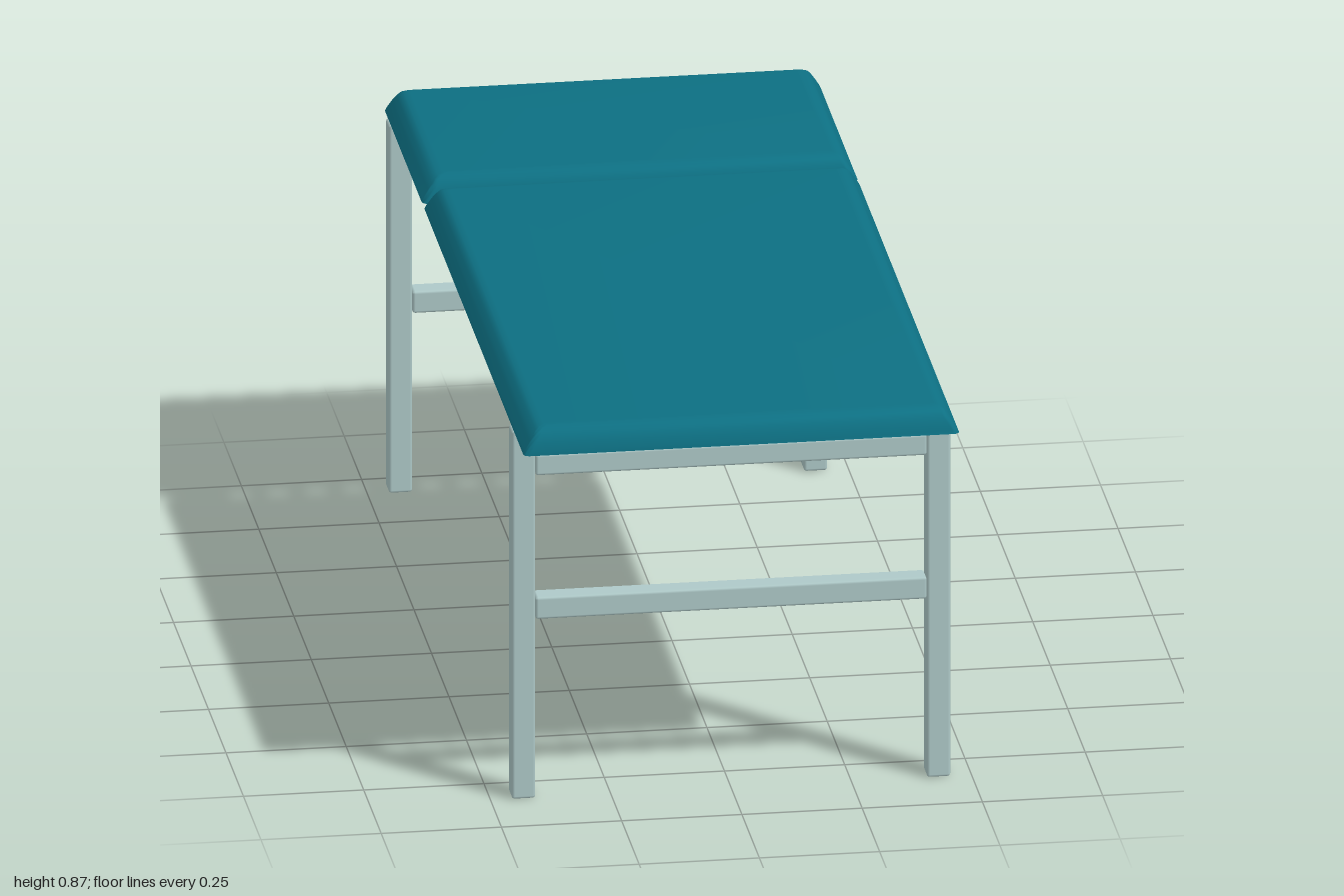
import * as THREE from 'three';
import { RoundedBoxGeometry } from 'three/addons/geometries/RoundedBoxGeometry.js';
import { toCreasedNormals } from 'three/addons/utils/BufferGeometryUtils.js';

const upholstery = new THREE.MeshStandardMaterial({ name: 'teal upholstery', color: 0x0d7083 });
const paint = new THREE.MeshStandardMaterial({ name: 'pale frame paint', color: 0xaec9c8 });

// Square tube with softened edges, given by its limits
function tube(name, [x0, x1], [y0, y1], [z0, z1]) {
  const mesh = new THREE.Mesh(new RoundedBoxGeometry(x1 - x0, y1 - y0, z1 - z0, 1, 0.006), paint);
  mesh.position.set((x0 + x1) / 2, (y0 + y1) / 2, (z0 + z1) / 2);
  mesh.name = name;
  return mesh;
}

// Rounded rectangle as a loop of points, in x and z
function outline(hx, hz, r) {
  const points = [];
  const corners = [[1, 1], [-1, 1], [-1, -1], [1, -1]];
  corners.forEach(([sx, sz], c) => {
    for (let i = 0; i <= 4; i++) {
      const a = (c + i / 4) * Math.PI / 2;
      points.push([sx * (hx - r) + r * Math.cos(a), sz * (hz - r) + r * Math.sin(a)]);
    }
  });
  return points;
}

// Cushion: rounded rectangles stacked up a sloping, rounded edge
function cushion(name, z0, z1) {
  const profile = [ // height, inset in x, inset in z
    [0.815, 0, 0], [0.822, 0.003, 0.001], [0.84, 0.014, 0.006], [0.852, 0.022, 0.012],
    [0.86, 0.028, 0.019], [0.865, 0.036, 0.028], [0.867, 0.048, 0.04],
  ];
  const hz = (z1 - z0) / 2;
  const positions = [], index = [];
  let n = 0;
  for (const [y, ix, iz] of profile) {
    const loop = outline(0.453 - ix, hz - iz, 0.012);
    n = loop.length;
    for (const [x, z] of loop) positions.push(x, y, z);
  }
  for (let k = 0; k < profile.length - 1; k++) {
    for (let i = 0; i < n; i++) {
      const a = k * n + i, b = k * n + (i + 1) % n;
      index.push(a, a + n, b, b, a + n, b + n);
    }
  }
  // Close the underside and the top
  const top = (profile.length - 1) * n;
  for (let i = 1; i < n - 1; i++) {
    index.push(0, i, i + 1, top, top + i + 1, top + i);
  }
  const geometry = new THREE.BufferGeometry();
  geometry.setAttribute('position', new THREE.Float32BufferAttribute(positions, 3));
  geometry.setIndex(index);
  const mesh = new THREE.Mesh(toCreasedNormals(geometry, Math.PI / 4), upholstery);
  mesh.position.z = (z0 + z1) / 2;
  mesh.name = name;
  return mesh;
}

export function createModel() {
  const model = new THREE.Group();
  model.name = 'treatmentTable';

  // Padded top in two sections
  model.add(cushion('bodyCushion', -0.435, 1));
  model.add(cushion('headCushion', -1, -0.452));

  // End frames: two legs joined by an upper and a lower rail
  for (const [end, z] of [['front', 0.825], ['back', -0.935]]) {
    const depth = [z - 0.024, z + 0.024];
    const frame = new THREE.Group();
    frame.name = end + 'Frame';
    frame.add(tube(end + 'LeftLeg', [0.407, 0.456], [0, 0.813], depth));
    frame.add(tube(end + 'RightLeg', [-0.456, -0.407], [0, 0.813], depth));
    frame.add(tube(end + 'UpperRail', [-0.407, 0.407], [0.711, 0.758], depth));
    frame.add(tube(end + 'LowerRail', [-0.407, 0.407], [0.394, 0.443], depth));
    model.add(frame);
  }

  // Long rails and the crossbar between them, under the cushions
  const level = [0.764, 0.814];
  model.add(tube('leftSideRail', [0.357, 0.406], level, [-0.958, 0.848]));
  model.add(tube('rightSideRail', [-0.406, -0.357], level, [-0.958, 0.848]));
  model.add(tube('crossbar', [-0.357, 0.357], level, [-0.325, -0.277]));

  return model;
}
